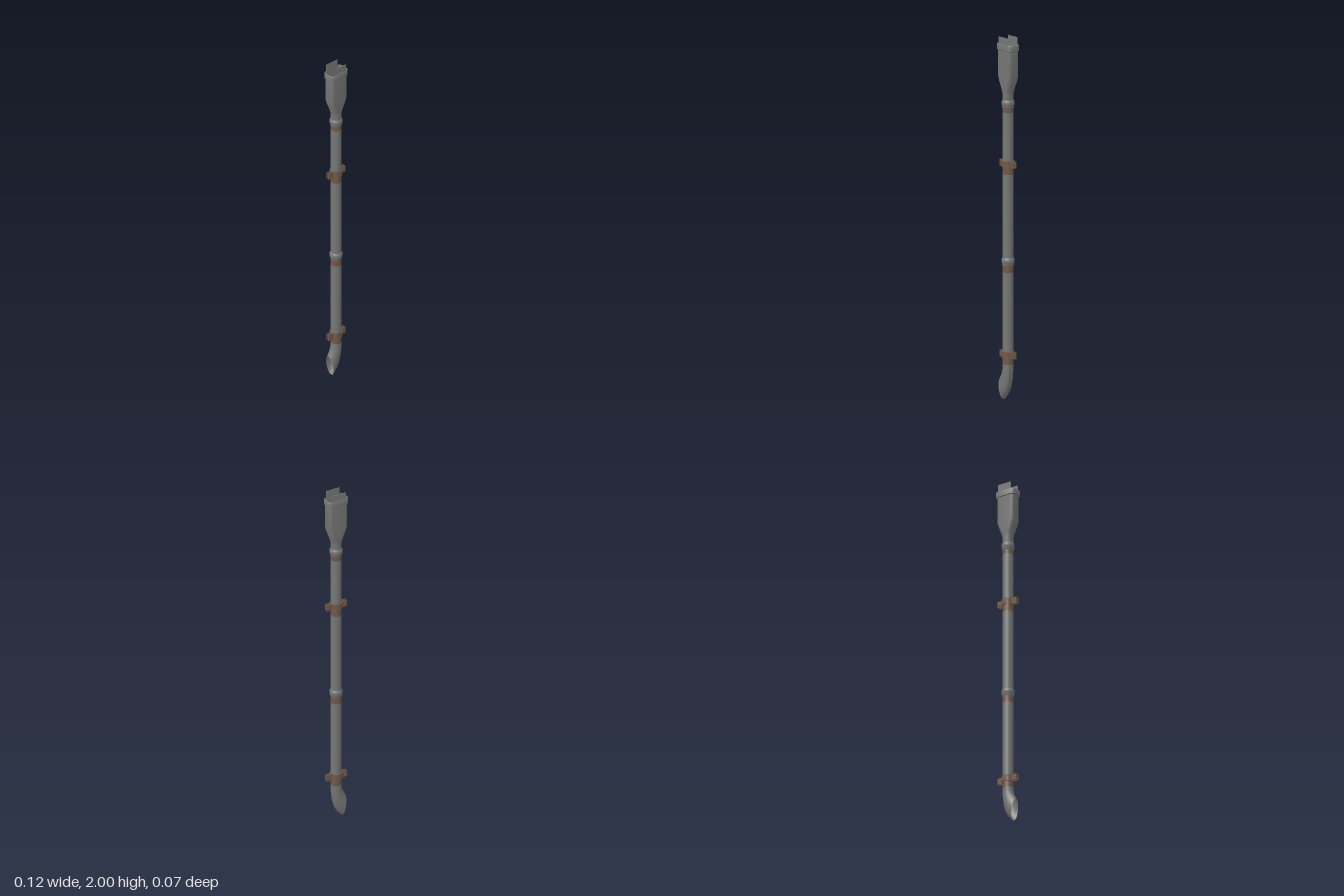
import * as THREE from 'three';
import { toCreasedNormals } from 'three/addons/utils/BufferGeometryUtils.js';

const R = 0.029; // pipe radius

export function createModel() {
  const group = new THREE.Group();
  const mat = (name, color) => new THREE.MeshStandardMaterial({ name, color, side: THREE.DoubleSide });
  const metal = mat('grey metal', 0x757775);
  const rust = mat('rust brown', 0x705949);
  const dark = mat('dark metal', 0x4c4e4c);

  const add = (name, geometry, material, x = 0, y = 0, z = 0, parent = group) => {
    const mesh = new THREE.Mesh(geometry, material);
    mesh.name = name;
    mesh.position.set(x, y, z);
    parent.add(mesh);
    return mesh;
  };

  // Skin over closed rings, listed from the bottom up
  const loft = (rings, crease = 0.6) => {
    const n = rings[0].length, index = [];
    for (let i = 0; i < rings.length - 1; i++) {
      for (let j = 0; j < n; j++) {
        const a = i * n + j, b = i * n + (j + 1) % n;
        index.push(a, a + n, b, b, a + n, b + n);
      }
    }
    const geo = new THREE.BufferGeometry();
    geo.setAttribute('position', new THREE.Float32BufferAttribute(rings.flat(2), 3));
    geo.setIndex(index);
    return toCreasedNormals(geo, crease);
  };

  // Rounded rectangle ring; a circle when all three sizes match
  const roundedRing = ([hw, hd, r, y]) => {
    const pts = [];
    const corners = [[1, 1], [-1, 1], [-1, -1], [1, -1]];
    corners.forEach(([sx, sz], c) => {
      for (let k = 0; k < 6; k++) {
        const a = (c + (k + 0.02) / 5.04) * Math.PI / 2;
        pts.push([sx * (hw - r) + r * Math.cos(a), y, sz * (hd - r) + r * Math.sin(a)]);
      }
    });
    return pts;
  };

  // Straight pipe in clean and rusted lengths
  const tube = (name, y0, y1, material) =>
    add(name, new THREE.CylinderGeometry(R, R, y1 - y0, 24, 1, true), material, 0, (y0 + y1) / 2, 0);
  const rusted = [[0.2, 0.24], [0.705, 0.76], [1.245, 1.29], [1.585, 1.615]];
  rusted.forEach(([y0, y1], i) => {
    tube('rustBand', y0, y1, rust);
    tube('pipe', y1, i < 3 ? rusted[i + 1][0] : 1.66, metal);
  });

  // Rounded joint beads
  const bead = [[R, -0.026], [0.032, -0.022], [0.032, -0.013], [0.035, -0.008], [0.036, 0],
    [0.035, 0.009], [0.032, 0.015], [R, 0.018]].map(p => new THREE.Vector2(...p));
  for (const y of [0.768, 1.636]) add('jointBead', new THREE.LatheGeometry(bead, 24), metal, 0, y, 0);

  // Wall clamps: a split ring with paired ears and bolts
  for (const y of [0.253, 1.302]) {
    const clamp = new THREE.Group();
    clamp.name = 'clamp';
    clamp.position.y = y;
    group.add(clamp);
    const ring = [[R, -0.018], [0.034, -0.018], [0.034, 0.018], [R, 0.018]].map(p => new THREE.Vector2(...p));
    add('clampRing', toCreasedNormals(new THREE.LatheGeometry(ring, 24), 0.6), rust, 0, 0, 0, clamp);
    for (const s of [-1, 1]) {
      for (const z of [-0.007, 0.007]) {
        add('clampEar', new THREE.BoxGeometry(0.034, 0.036, 0.006), rust, s * 0.045, 0, z, clamp);
      }
      const bolt = add('clampBolt', new THREE.CylinderGeometry(0.006, 0.006, 0.028, 6), rust, s * 0.049, 0, 0, clamp);
      bolt.rotation.x = Math.PI / 2;
    }
  }

  // Bent outlet with a slanted open mouth: each row is inner edge x, y and outer edge x, y
  const bend = [
    [-0.055, 0.125, -0.035, 0],
    [-0.050, 0.135, -0.006, 0.029],
    [-0.043, 0.148, 0.012, 0.062],
    [-0.035, 0.163, 0.023, 0.105],
    [-0.030, 0.182, 0.0285, 0.155],
    [-R, 0.202, R, 0.202],
  ];
  const bendRing = ([lx, ly, rx, ry]) => Array.from({ length: 24 }, (_, j) => {
    const a = j / 24 * Math.PI * 2, t = (1 + Math.cos(a)) / 2;
    return [lx + (rx - lx) * t, ly + (ry - ly) * t, R * Math.sin(a)];
  });
  add('outletBend', loft(bend.map(bendRing), 1), metal);

  // Hopper head: round neck widening to a flat box
  add('hopper', loft([
    [R, R, R, 1.645],
    [0.030, R, 0.028, 1.69],
    [0.034, 0.030, 0.025, 1.71],
    [0.055, 0.033, 0.016, 1.78],
    [0.055, 0.033, 0.016, 1.93],
  ].map(roundedRing)), metal);

  // Rim collar
  add('rimCollar', loft([
    [0.055, 0.033, 0.016, 1.925],
    [0.0625, 0.037, 0.02, 1.929],
    [0.0625, 0.037, 0.02, 1.958],
    [0.0605, 0.0355, 0.019, 1.961],
    [0.057, 0.033, 0.017, 1.961],
    [0.054, 0.032, 0.016, 1.93],
  ].map(roundedRing)), metal);

  // Upright tabs at front and back of the rim
  for (const s of [-1, 1]) {
    add('rimTab', new THREE.BoxGeometry(0.083, 0.075, 0.003), metal, 0, 1.9625, s * 0.0325);
  }

  // Strainer floor, half rusted, with three drain holes
  const floorY = 1.755;
  add('strainerFloor', new THREE.BoxGeometry(0.041, 0.004, 0.06), metal, 0.0205, floorY, 0);
  add('rustedFloor', new THREE.BoxGeometry(0.041, 0.004, 0.06), rust, -0.0205, floorY, 0);
  add('rustedStrip', new THREE.BoxGeometry(0.037, 0.002, 0.011), rust, 0.0185, floorY + 0.002, 0.0245);
  [[-0.024, metal], [0, dark], [0.022, metal]].forEach(([x, m]) => {
    add('holeEdge', new THREE.CylinderGeometry(0.008, 0.008, 0.002, 16), dark, x, floorY + 0.002, 0);
    add('drainHole', new THREE.CylinderGeometry(0.0065, 0.0065, 0.002, 16), m, x, floorY + 0.003, 0);
  });

  return group;
}
